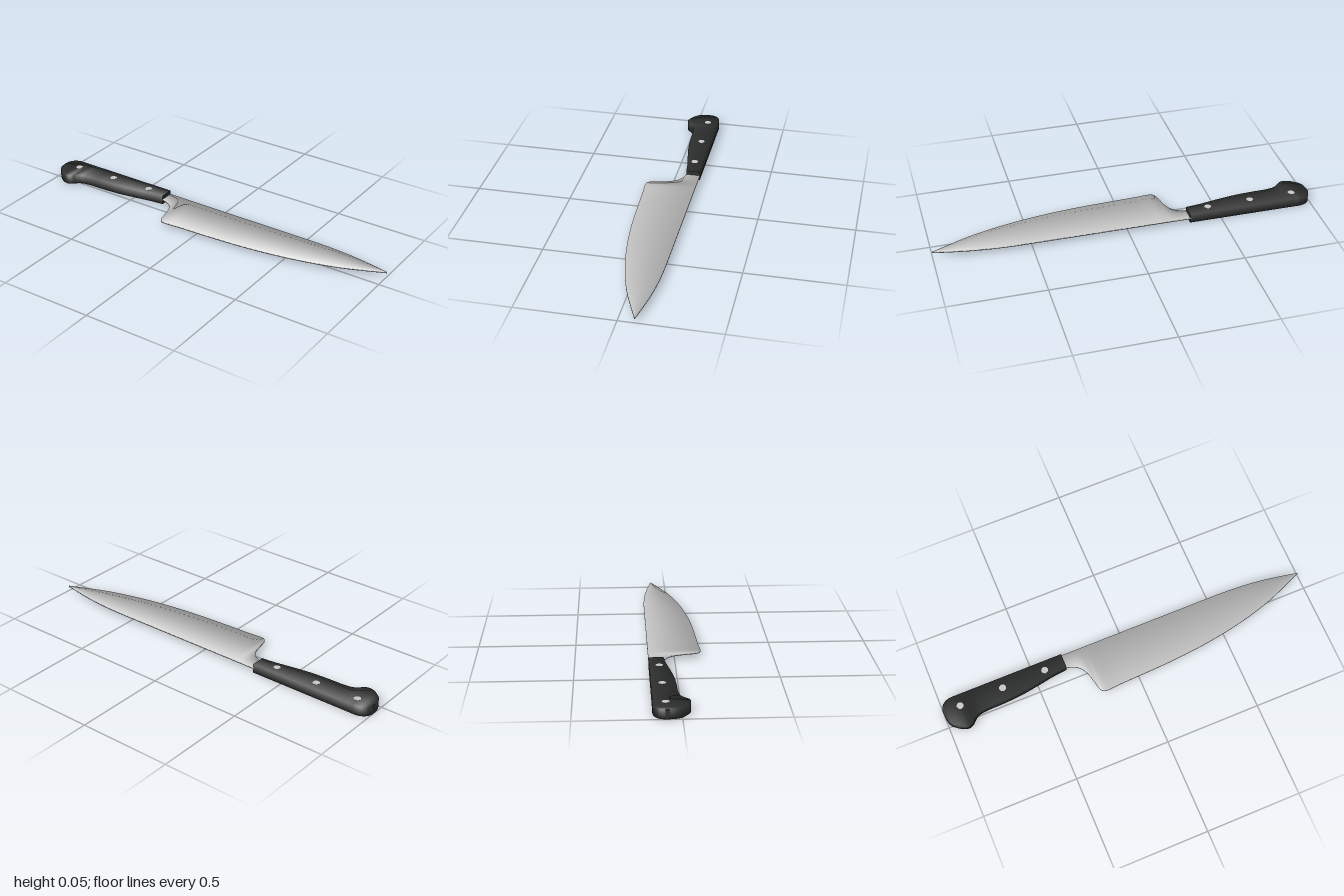
import * as THREE from 'three';

const MID_Y = 0.0245;

// Lofts a slab from rows of [x, back z, front z]; normals roll smoothly over the rims.
function slab(rows, halfThickness, steps) {
  const curve = new THREE.CatmullRomCurve3(rows.map((r) => new THREE.Vector3(...r)), false, 'centripetal');
  const positions = [], normals = [], index = [];
  const n = new THREE.Vector3();
  const ring = (p) => [[p.y, 1], [p.z, 1], [p.z, -1], [p.y, -1]]
    .map(([z, s]) => [p.x, MID_Y + s * halfThickness, z]);

  for (let i = 0; i <= steps; i++) {
    const p = curve.getPoint(i / steps);
    const t = curve.getTangent(i / steps);
    const back = new THREE.Vector2(t.y, -t.x).normalize();
    const front = new THREE.Vector2(-t.z, t.x).normalize();
    ring(p).forEach((v, k) => {
      const out = k === 0 || k === 3 ? back : front;
      n.set(out.x, k < 2 ? 1 : -1, out.y).normalize();
      positions.push(...v);
      normals.push(n.x, n.y, n.z);
    });
    if (i === steps) break;
    for (let k = 0; k < 4; k++) {
      const a = i * 4 + k, b = i * 4 + (k + 1) % 4;
      index.push(a, b, b + 4, a, b + 4, a + 4);
    }
  }

  // flat end caps
  for (const end of [0, 1]) {
    const o = positions.length / 3;
    ring(curve.getPoint(end)).forEach((v) => {
      positions.push(...v);
      normals.push(end ? 1 : -1, 0, 0);
    });
    index.push(...(end ? [0, 1, 2, 0, 2, 3] : [0, 3, 2, 0, 2, 1]).map((k) => o + k));
  }

  const g = new THREE.BufferGeometry();
  g.setAttribute('position', new THREE.Float32BufferAttribute(positions, 3));
  g.setAttribute('normal', new THREE.Float32BufferAttribute(normals, 3));
  g.setIndex(index);
  return g;
}

export function createModel() {
  const steel = new THREE.MeshStandardMaterial({ color: 0xc8c8c8 });
  steel.name = 'steel';
  const black = new THREE.MeshStandardMaterial({ color: 0x303231 });
  black.name = 'black handle';

  const knife = new THREE.Group();
  knife.name = 'knife';
  const add = (name, geometry, material) => {
    const mesh = new THREE.Mesh(geometry, material);
    mesh.name = name;
    knife.add(mesh);
    return mesh;
  };

  // blade with its narrow neck, curved heel and pointed tip
  add('blade', slab([
    [-0.34, -0.134, -0.062], [-0.31, -0.134, -0.056], [-0.28, -0.134, -0.042],
    [-0.255, -0.134, -0.018], [-0.237, -0.134, 0.02], [-0.225, -0.134, 0.07],
    [-0.215, -0.134, 0.11], [-0.203, -0.134, 0.127], [-0.185, -0.134, 0.133],
    [-0.1, -0.134, 0.128], [0.05, -0.134, 0.122], [0.2, -0.134, 0.114],
    [0.35, -0.134, 0.1], [0.5, -0.134, 0.078], [0.6, -0.133, 0.058],
    [0.7, -0.128, 0.033], [0.8, -0.118, 0.002], [0.9, -0.102, -0.038],
    [0.96, -0.091, -0.064], [1, -0.083, -0.081],
  ], 0.0035, 95), steel);

  // handle with a rounded, hooked butt
  add('handle', slab([
    [-1, -0.078, -0.06], [-0.996, -0.095, -0.03], [-0.985, -0.113, -0.004],
    [-0.965, -0.127, 0.015], [-0.935, -0.134, 0.035], [-0.905, -0.134, 0.043],
    [-0.88, -0.134, 0.035], [-0.86, -0.134, 0.015], [-0.835, -0.134, -0.002],
    [-0.79, -0.134, -0.01], [-0.7, -0.134, -0.013], [-0.6, -0.134, -0.02],
    [-0.5, -0.134, -0.035], [-0.41, -0.134, -0.051], [-0.33, -0.134, -0.06],
  ], MID_Y, 70), black);

  // rivets through the handle
  [[-0.908, -0.073], [-0.674, -0.079], [-0.44, -0.085]].forEach(([x, z], i) => {
    const rivet = add('rivet' + (i + 1), new THREE.CylinderGeometry(0.018, 0.018, 0.05, 16), steel);
    rivet.position.set(x, MID_Y, z);
  });

  return knife;
}
